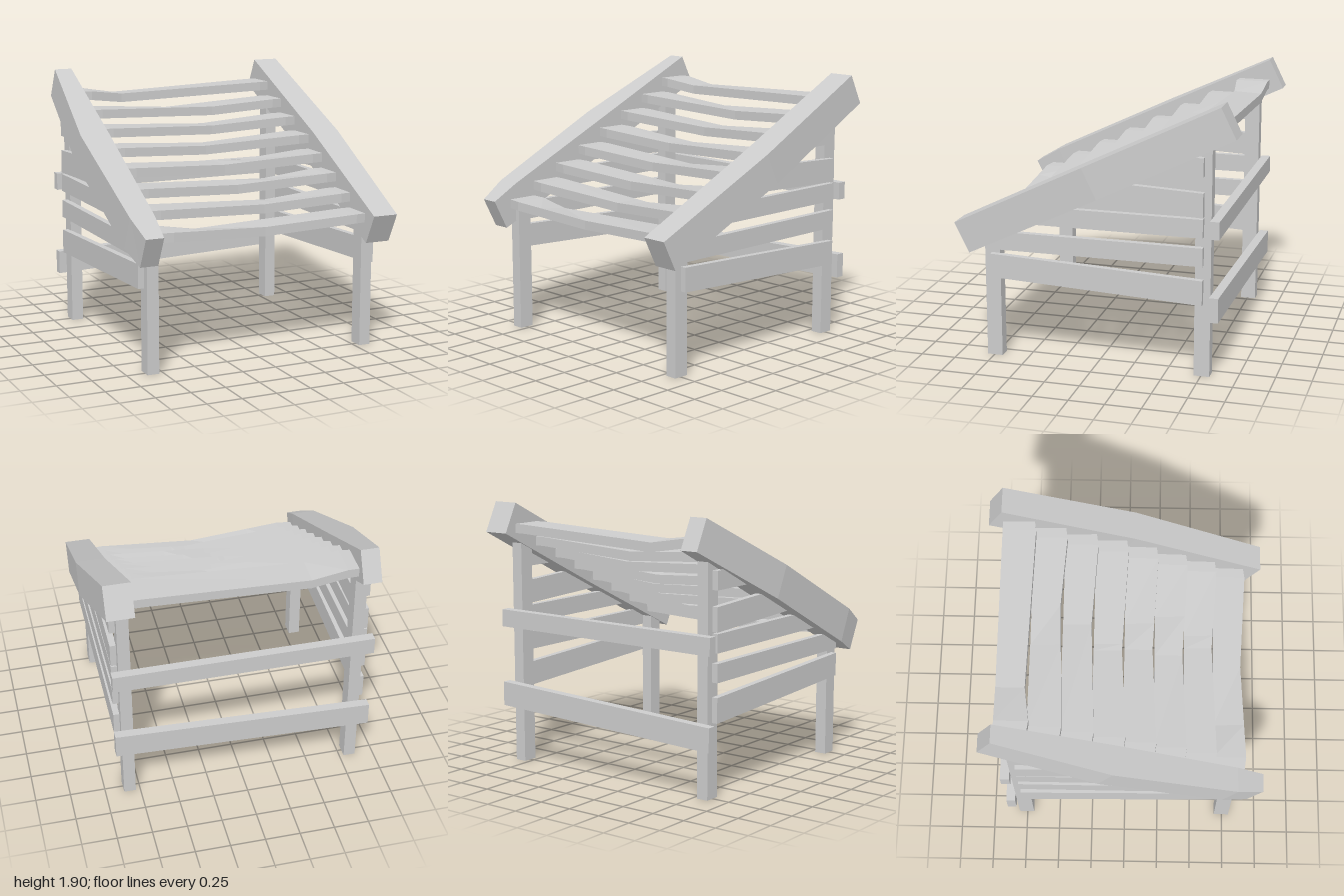
import * as THREE from 'three';

const material = new THREE.MeshStandardMaterial({ color: 0xcccccc, flatShading: true });

// Closed beam through four-cornered sections, each ordered anticlockwise seen from the far end
function loft(sections) {
  const pos = sections.flat(2);
  const index = [];
  const quad = (a, b, c, d) => index.push(a, b, c, a, c, d);
  const last = (sections.length - 1) * 4;
  for (let i = 0; i < last; i += 4) {
    for (let j = 0; j < 4; j++) {
      const k = (j + 1) % 4;
      quad(i + j, i + k, i + 4 + k, i + 4 + j);
    }
  }
  quad(3, 2, 1, 0);
  quad(last, last + 1, last + 2, last + 3);
  const g = new THREE.BufferGeometry();
  g.setAttribute('position', new THREE.Float32BufferAttribute(pos, 3));
  g.setIndex(index);
  const flat = g.toNonIndexed();
  flat.computeVertexNormals();
  return flat;
}

export function createModel() {
  const model = new THREE.Group();
  const add = (name, geometry) => {
    const mesh = new THREE.Mesh(geometry, material);
    mesh.name = name;
    model.add(mesh);
    return mesh;
  };

  for (const side of [1, -1]) {
    const label = side > 0 ? 'left' : 'right';

    // Legs, running up into the rail
    for (const [name, z, height] of [['FrontLeg', 0.745, 0.9], ['BackLeg', -0.755, 1.63]]) {
      add(label + name, new THREE.BoxGeometry(0.085, height, 0.11))
        .position.set(side * 0.825, height / 2, z);
    }

    // Side boards: [front z, front low y, front high y, back low y, back high y]
    const boards = [
      [0.75, 0.595, 0.765, 0.525, 0.70],
      [0.75, 0.80, 0.93, 0.80, 0.93],
      [0.5, 1.0, 1.13, 1.0, 1.13],
      [0.14, 1.175, 1.35, 1.14, 1.31],
      [-0.3, 1.42, 1.55, 1.42, 1.55],
    ];
    const [x0, x1] = side > 0 ? [0.865, 0.91] : [-0.91, -0.865];
    const ring = (z, lo, hi) => [[x0, lo, z], [x0, hi, z], [x1, hi, z], [x1, lo, z]];
    boards.forEach(([z, f0, f1, b0, b1], i) => {
      add(`${label}SideBoard${i + 1}`, loft([ring(z, f0, f1), ring(-0.76, b0, b1)]));
    });
  }

  // Back boards, the lower one hung askew
  const backRing = (x, lo, hi) => [[x, lo, -0.875], [x, hi, -0.875], [x, hi, -0.81], [x, lo, -0.81]];
  add('lowerBackBoard', loft([backRing(-0.925, 0.35, 0.52), backRing(0.92, 0.415, 0.59)]));
  add('upperBackBoard', loft([backRing(-0.93, 1.0, 1.125), backRing(0.92, 1.0, 1.125)]));

  // Sloping rails, front to back: [fraction along, low x, high x, rise of the top edge]
  const rail = (name, stations) => add(name, loft(stations.map(([t, a, b, rise]) => {
    const z = -1.87 * t, y = 0.92 * t;
    return [
      [a, 0.775 + y, 0.885 + z], [a, 0.985 + y + rise, 0.99 + z],
      [b, 0.985 + y + rise, 0.99 + z], [b, 0.775 + y, 0.885 + z],
    ];
  })));
  rail('leftRail', [[0, 0.77, 0.955, 0], [0.5, 0.79, 1.0, 0.005], [1, 0.765, 0.955, 0]]);
  rail('rightRail', [[0, -0.95, -0.82, 0], [0.1, -0.985, -0.808, 0.02],
    [0.57, -1.0, -0.785, 0.012], [1, -0.905, -0.775, 0]]);

  // Sagging slats; the front and back edges dip at their own points along x
  const frontDip = [0, 0.1, 0, 0, -0.05, 0.1, 0.2, -0.45];
  const backDip = [-0.45, 0.2, 0.3, 0.2, 0, 0.1, -0.1, -0.45];
  const bend = (x, apex) => Math.max(0, x < apex ? (x + 0.7) / (apex + 0.7) : (0.7 - x) / (0.7 - apex));
  for (let i = 0; i < 8; i++) {
    const y = 0.92 + 0.11 * i;
    const z = 0.87 - 0.2165 * i;
    const xs = [-0.81, -0.7, 0.7, 0.8, frontDip[i], backDip[i]];
    const stations = [...new Set(xs)].sort((a, b) => a - b);
    add(`slat${i + 1}`, loft(stations.map((x) => {
      const f = bend(x, frontDip[i]), b = bend(x, backDip[i]);
      const yf = y - 0.033 * f, yb = y - 0.042 * b;
      const zf = z - 0.035 * f - (Math.abs(x) > 0.75 ? 0.015 : 0), zb = z - 0.235;
      return [[x, yb, zb], [x, yb + 0.065, zb], [x, yf + 0.065, zf], [x, yf, zf]];
    })));
  }
  return model;
}
